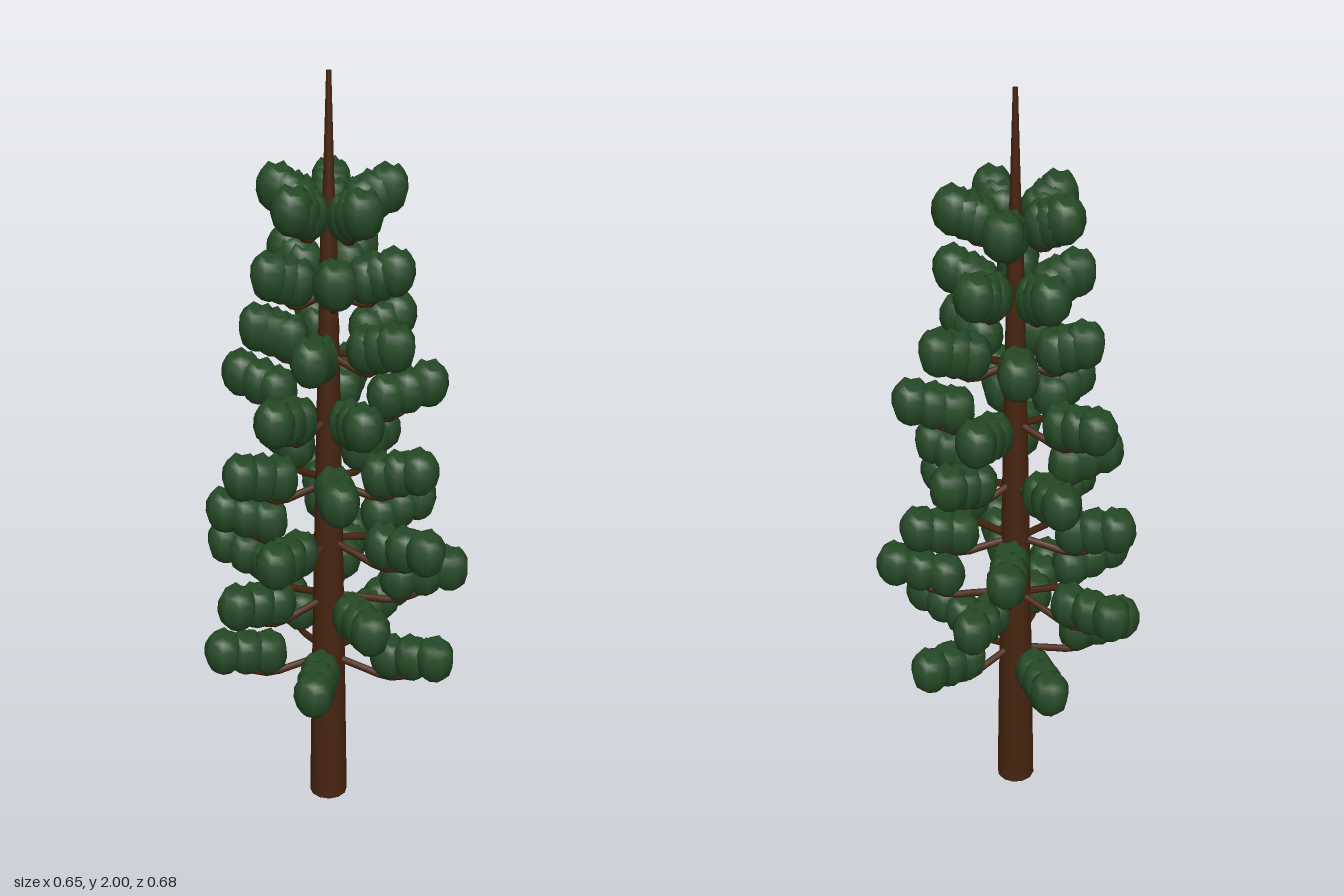
import * as THREE from 'three';
import { mergeVertices } from 'three/addons/utils/BufferGeometryUtils.js';

const bark = new THREE.MeshStandardMaterial({ color: 0x47240f });
bark.name = 'bark brown';
const needles = new THREE.MeshStandardMaterial({ color: 0x264a26 });
needles.name = 'needle green';

// Branch tips per tier, bottom to top: [angle in degrees from +x toward +z, reach]
const tiers = [
  [[-84, 0.30], [-20, 0.295], [57, 0.30], [129, 0.31], [-166, 0.285]],
  [[-116, 0.32], [-44, 0.27], [28, 0.315], [102, 0.295], [177, 0.28]],
  [[-63, 0.29], [9, 0.25], [71, 0.305], [150, 0.275], [-142, 0.265]],
  [[-95, 0.24], [-17, 0.21], [50, 0.235], [117, 0.265], [-173, 0.235]],
  [[-119, 0.25], [-41, 0.21], [20, 0.255], [98, 0.20], [160, 0.21]],
  [[-70, 0.17], [2, 0.195], [66, 0.19], [135, 0.19], [-146, 0.17]],
  [[-100, 0.15], [-28, 0.15], [44, 0.16], [116, 0.16], [-172, 0.15]],
  [[-127, 0.13], [-55, 0.13], [17, 0.145], [89, 0.14], [161, 0.135]],
];

// Eight-sided needle clump: a barrel with a jagged, shallow crown
function clumpGeometry() {
  const profile = [
    [0, -0.055], [0.026, -0.052], [0.043, -0.034], [0.051, -0.004],
    [0.049, 0.025], [0.038, 0.046], [0.026, 0.049], [0, 0.045],
  ].map(([r, y]) => new THREE.Vector2(r, y));
  const geo = new THREE.LatheGeometry(profile, 8);
  const pos = geo.attributes.position;
  for (let side = 0; side <= 8; side += 2) {
    const i = side * profile.length + 6;
    pos.setY(i, pos.getY(i) + 0.012);
  }
  geo.deleteAttribute('uv');
  geo.deleteAttribute('normal');
  const welded = mergeVertices(geo, 1e-4);
  welded.computeVertexNormals();
  return welded;
}

// Tapered trunk with a thin leader
function makeTrunk() {
  const profile = [
    [0, 0], [0.05, 0], [0.05, 0.001], [0.043, 0.45], [0.033, 1.0],
    [0.02, 1.6], [0.013, 1.75], [0.006, 2], [0, 2],
  ].map(([r, y]) => new THREE.Vector2(r, y));
  const trunk = new THREE.Mesh(new THREE.LatheGeometry(profile, 12), bark);
  trunk.name = 'trunk';
  return trunk;
}

// Branch along +x: droops to an elbow, then curls up under its clumps
function makeBranch(reach, height, clump) {
  const branch = new THREE.Group();
  branch.name = 'branch';
  const path = new THREE.CatmullRomCurve3([
    new THREE.Vector3(0, height - 0.06, 0),
    new THREE.Vector3(reach * 0.3, height - 0.075, 0),
    new THREE.Vector3(reach * 0.6, height - 0.085, 0),
    new THREE.Vector3(reach * 0.92, height - 0.035, 0),
  ]);
  const limb = new THREE.Mesh(new THREE.TubeGeometry(path, 8, 0.0095, 6), bark);
  limb.name = 'limb';
  branch.add(limb);
  for (let k = 0; k < 3; k++) {
    const mesh = new THREE.Mesh(clump, needles);
    mesh.name = 'needleClump';
    mesh.position.set(reach * (0.58 + 0.21 * k), height - 0.012 * (2 - k), 0);
    mesh.rotation.y = k * 0.9 + reach * 20;
    branch.add(mesh);
  }
  return branch;
}

export function createModel() {
  const tree = new THREE.Group();
  tree.name = 'conifer';
  tree.add(makeTrunk());
  const clump = clumpGeometry();
  tiers.forEach((tips, i) => {
    const tier = new THREE.Group();
    tier.name = 'branchTier';
    tips.forEach(([angle, reach], j) => {
      // Small height change between neighbouring branches
      const height = 0.502 + 0.171 * i + 0.008 * Math.sin(i * 2.1 + j * 2.6);
      const branch = makeBranch(reach, height, clump);
      branch.rotation.y = -THREE.MathUtils.degToRad(angle);
      tier.add(branch);
    });
    tree.add(tier);
  });
  return tree;
}
